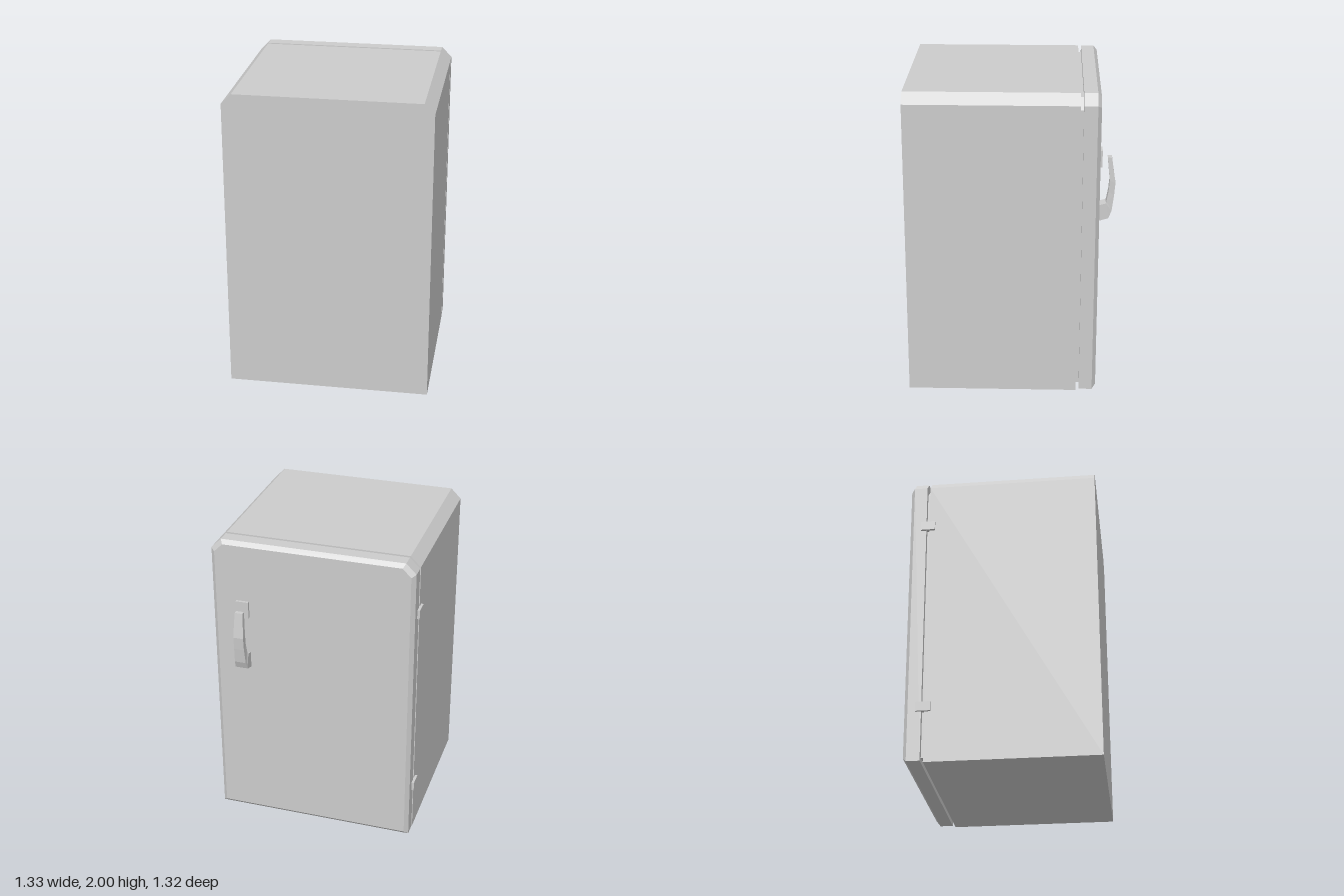
import * as THREE from 'three';

const material = new THREE.MeshStandardMaterial({ color: 0xcccccc, flatShading: true });

// Skins a list of equal-sized convex rings and caps both ends.
function loft(name, rings) {
  const n = rings[0].length;
  const index = [];
  for (let i = 0; i < rings.length - 1; i++) {
    for (let j = 0; j < n; j++) {
      const a = i * n + j, b = i * n + (j + 1) % n;
      index.push(a, b, b + n, a, b + n, a + n);
    }
  }
  const last = (rings.length - 1) * n;
  for (let j = 1; j < n - 1; j++) {
    index.push(0, j + 1, j, last, last + j, last + j + 1);
  }
  const geometry = new THREE.BufferGeometry();
  geometry.setAttribute('position', new THREE.Float32BufferAttribute(rings.flat(2), 3));
  geometry.setIndex(index);
  const flat = geometry.toNonIndexed();
  flat.computeVertexNormals();
  const mesh = new THREE.Mesh(flat, material);
  mesh.name = name;
  return mesh;
}

// Cabinet outline with its two top corners cut, shrunk by an inset.
function outline(z, inset, chamfer, bottom) {
  const x0 = -0.65 + inset, x1 = 0.66 - inset, y1 = 2 - inset;
  return [
    [x0, bottom, z], [x1, bottom, z], [x1, y1 - chamfer, z],
    [x1 - chamfer, y1, z], [x0 + chamfer, y1, z], [x0, y1 - chamfer, z],
  ];
}

function box(name, x0, x1, y0, y1, z0, z1) {
  const mesh = new THREE.Mesh(new THREE.BoxGeometry(x1 - x0, y1 - y0, z1 - z0), material);
  mesh.position.set((x0 + x1) / 2, (y0 + y1) / 2, (z0 + z1) / 2);
  mesh.name = name;
  return mesh;
}

function createHandle() {
  const handle = new THREE.Group();
  handle.name = 'handle';
  const cx = 0.458;
  // Each section: inner z, inner y, outer z, outer y, half width
  const sections = [
    [-0.555, 1.236, -0.555, 1.13, 0.042],
    [-0.603, 1.25, -0.62, 1.15, 0.042],
    [-0.606, 1.262, -0.64, 1.2, 0.037],
    [-0.618, 1.33, -0.653, 1.3, 0.033],
    [-0.624, 1.4, -0.66, 1.385, 0.033],
    [-0.608, 1.55, -0.635, 1.55, 0.026],
  ];
  handle.add(loft('handleGrip', sections.map(([zi, yi, zo, yo, w]) => [
    [cx - w, yi, zi], [cx + w, yi, zi], [cx + w, yo, zo], [cx - w, yo, zo],
  ])));
  handle.add(box('latchPlate', cx - 0.042, cx + 0.042, 1.49, 1.6, -0.575, -0.555));
  return handle;
}

export function createModel() {
  const fridge = new THREE.Group();
  fridge.name = 'refrigerator';

  // Cabinet, recessed seal and bevelled door
  fridge.add(loft('cabinet', [outline(-0.43, 0, 0.065, 0), outline(0.66, 0, 0.065, 0)]));
  fridge.add(loft('doorSeal', [outline(-0.452, 0.037, 0.064, 0.04), outline(-0.428, 0.037, 0.064, 0.04)]));
  fridge.add(loft('door', [
    outline(-0.558, 0.026, 0.055, 0.036),
    outline(-0.535, 0, 0.065, 0.01),
    outline(-0.45, 0, 0.065, 0.01),
  ]));

  // Hinges on the right side
  for (const [name, y] of [['lowerHinge', 0.36], ['upperHinge', 1.64]]) {
    fridge.add(box(name, -0.666, -0.635, y - 0.03, y + 0.03, -0.485, -0.392));
  }

  fridge.add(createHandle());
  return fridge;
}
